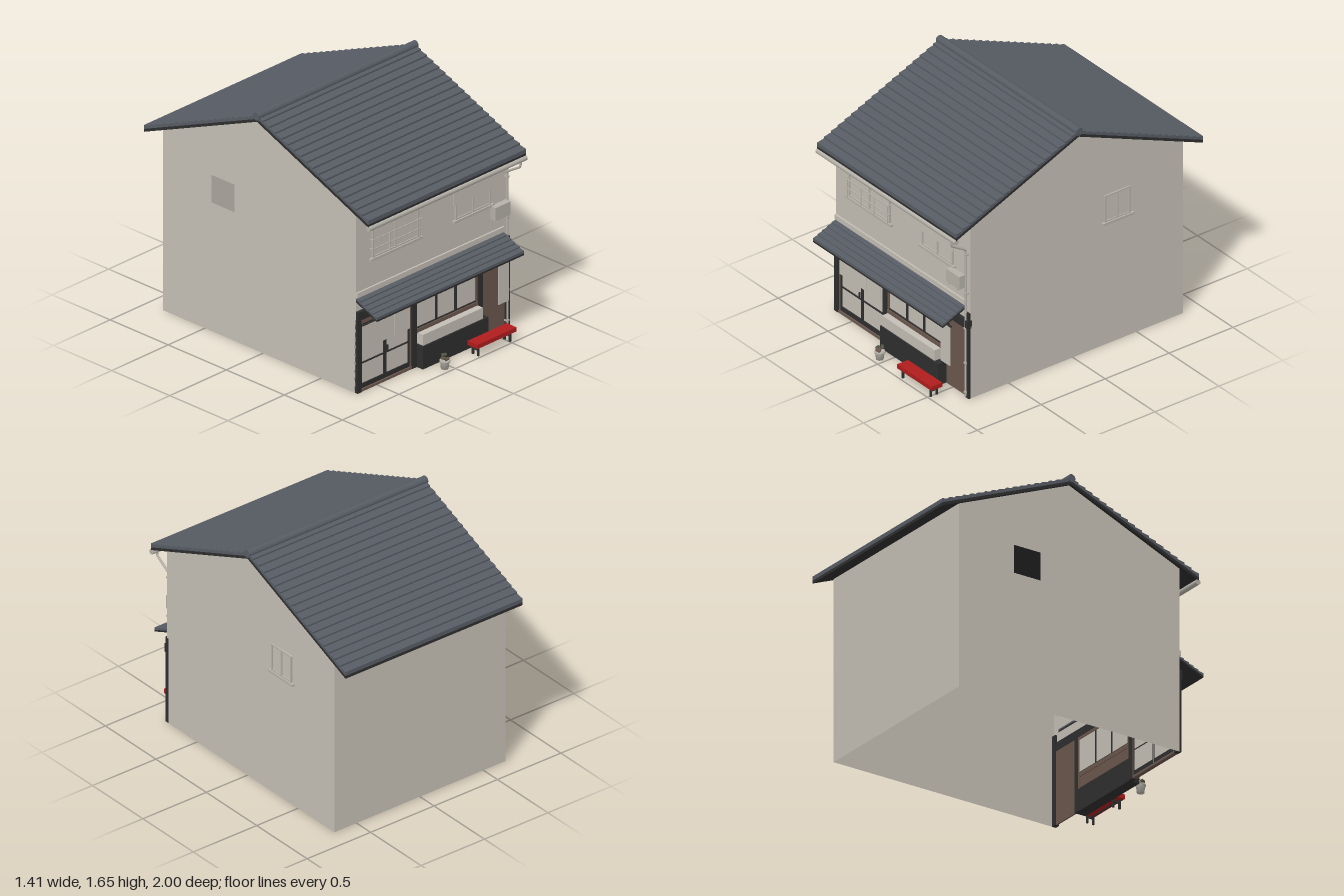
import * as THREE from 'three';

const mat = (name, color, double) => {
  const m = new THREE.MeshStandardMaterial({ color });
  m.name = name;
  if (double) m.side = THREE.DoubleSide;
  return m;
};

export function createModel() {
  const root = new THREE.Group();
  root.name = 'shopHouse';
  const plaster = mat('plaster', 0xc4bfb5, true);
  const slate = mat('slate', 0x575c64);
  const dark = mat('darkTimber', 0x2e2e2e);
  const brown = mat('brownTimber', 0x6b574d, true);
  const red = mat('redCloth', 0xb01c1c);
  const metal = mat('paleMetal', 0xb5b1a8);
  const leaf = mat('foliage', 0x5a5a48);

  const add = (name, geo, material, parent = root) => {
    const m = new THREE.Mesh(geo, material);
    m.name = name;
    parent.add(m);
    return m;
  };
  // Box given by its limits
  const box = (name, material, x0, x1, y0, y1, z0, z1, parent) => {
    const m = add(name, new THREE.BoxGeometry(x1 - x0, y1 - y0, z1 - z0), material, parent);
    m.position.set((x0 + x1) / 2, (y0 + y1) / 2, (z0 + z1) / 2);
    return m;
  };
  const group = (name) => {
    const g = new THREE.Group();
    g.name = name;
    root.add(g);
    return g;
  };
  // Extrudes a (z, y) outline along x
  const extrudeX = (pts, x0, x1) => {
    const shape = new THREE.Shape(pts.map(([z, y]) => new THREE.Vector2(z, y)));
    const g = new THREE.ExtrudeGeometry(shape, { depth: x1 - x0, bevelEnabled: false });
    return g.rotateY(-Math.PI / 2).translate(x1, 0, 0);
  };

  const W = 0.675, ZF = 0.8, ZB = -0.86, ZR = -0.03, RIDGE = 1.59, SLOPE = 0.415;

  // Walls: hollow shell without a floor
  const eave = RIDGE - (ZF - ZR) * SLOPE;
  for (const side of [-1, 1]) {
    const gable = new THREE.Shape([[ZB, 0], [ZF, 0], [ZF, eave], [ZR, RIDGE], [ZB, eave]]
      .map(([z, y]) => new THREE.Vector2(z, y)));
    if (side < 0) {
      gable.holes.push(new THREE.Path([[-0.445, 0.885], [-0.245, 0.885], [-0.245, 1.075], [-0.445, 1.075]]
        .map(([z, y]) => new THREE.Vector2(z, y))));
    }
    const g = new THREE.ShapeGeometry(gable).rotateY(-Math.PI / 2);
    // Turn the +x wall's faces outward
    if (side > 0) g.index.array.reverse(), g.attributes.normal.array.forEach((v, i, a) => { a[i] = -v; });
    add(side < 0 ? 'leftGableWall' : 'rightGableWall', g, plaster).position.x = side * W;
  }
  const back = add('backWall', new THREE.PlaneGeometry(2 * W, eave).rotateY(Math.PI), plaster);
  back.position.set(0, eave / 2, ZB);
  const front = add('upperFrontWall', new THREE.PlaneGeometry(2 * W, eave - 0.5), plaster);
  front.position.set(0, (eave + 0.5) / 2, ZF);

  // Stepped tile slope over a dark board
  const tiledSlope = (name, x0, x1, z0, z1, yTop, slope, rows, board, thick, step) => {
    const d = z1 - z0, run = Math.abs(d);
    const top = [];
    for (let i = 0; i < rows; i++) {
      const a = i / rows, b = (i + 1) / rows, y = yTop + board + thick;
      top.push([z0 + d * a, y - run * slope * a], [z0 + d * b, y + step - run * slope * b]);
    }
    const yEnd = yTop - run * slope;
    add(name + 'Tiles', extrudeX([...top, [z1, yEnd + board], [z0, yTop + board]], x0, x1), slate);
    add(name + 'Board', extrudeX([[z0, yTop + board], [z1, yEnd + board], [z1, yEnd], [z0, yTop]], x0, x1), dark);
  };
  tiledSlope('frontRoof', -0.698, 0.698, ZR, 0.93, RIDGE, SLOPE, 18, 0.02, 0.016, 0.012);
  tiledSlope('backRoof', -0.698, 0.698, ZR, -1, RIDGE, SLOPE, 18, 0.02, 0.016, 0.012);
  const ridge = add('ridgeCap', new THREE.CylinderGeometry(0.027, 0.027, 1.41, 16).rotateZ(Math.PI / 2), slate);
  ridge.position.set(0, 1.628, ZR);
  tiledSlope('awning', -0.675, 0.628, ZF, 0.98, 0.627, 0.42, 5, 0.012, 0.01, 0.008);
  box('awningFlashing', plaster, -W, 0.628, 0.655, 0.69, ZF, 0.812);

  // Gutter and downpipe
  const gutter = add('gutter', new THREE.CylinderGeometry(0.018, 0.018, 1.395, 12).rotateZ(Math.PI / 2), metal);
  gutter.position.set(0, 1.18, 0.926);
  const path = new THREE.CurvePath();
  const v = [[1.17, 0.93], [1.135, 0.93], [1.065, 0.815], [0.01, 0.815]].map(([y, z]) => new THREE.Vector3(0.648, y, z));
  for (let i = 0; i < 3; i++) path.add(new THREE.LineCurve3(v[i], v[i + 1]));
  add('downpipe', new THREE.TubeGeometry(path, 60, 0.008, 8), metal);
  for (const y of [1.03, 0.75, 0.5, 0.25, 0.04]) box('pipeClip', metal, 0.637, 0.659, y - 0.006, y + 0.006, ZF, 0.826);

  // Timber posts and beam of the shop front
  for (const [a, b, h] of [[-W, -0.64, 0.5], [-0.19, -0.15, 0.5], [0.395, 0.432, 0.5], [0.64, W, 0.612]])
    box('post', dark, a, b, 0, h, 0.785, 0.815);
  box('beam', dark, -W, W, 0.5, 0.56, 0.79, 0.822);
  box('sidePanel', brown, 0.432, 0.64, 0, 0.5, 0.79, ZF);

  // Sliding doors
  const door = group('slidingDoors');
  box('doorHeader', brown, -0.64, -0.19, 0.46, 0.5, 0.79, 0.803, door);
  box('leftJamb', brown, -0.64, -0.628, 0, 0.46, 0.785, 0.803, door);
  box('rightJamb', brown, -0.202, -0.19, 0, 0.46, 0.785, 0.803, door);
  box('threshold', brown, -0.64, -0.19, 0, 0.016, 0.785, 0.812, door);
  box('doorGlass', plaster, -0.628, -0.202, 0.016, 0.46, 0.788, 0.792, door);
  for (const [a, b] of [[-0.628, -0.418], [-0.412, -0.202]]) {
    box('doorStile', dark, a, a + 0.007, 0.016, 0.46, 0.787, 0.8, door);
    box('doorStile', dark, b - 0.007, b, 0.016, 0.46, 0.787, 0.8, door);
    box('doorBottomRail', dark, a, b, 0.016, 0.046, 0.787, 0.8, door);
    box('doorMiddleRail', dark, a, b, 0.184, 0.192, 0.787, 0.8, door);
    box('doorTopRail', dark, a, b, 0.45, 0.46, 0.787, 0.8, door);
  }
  for (const x of [-0.432, -0.4]) box('doorHandle', dark, x - 0.003, x + 0.003, 0.195, 0.24, 0.8, 0.81, door);
  // Split door curtain on a rod
  for (let i = 0; i < 3; i++) {
    const x = -0.622 + i * 0.138;
    box('curtainPanel', plaster, x, x + 0.136, 0.288, 0.452, 0.812, 0.815, door);
  }
  box('curtainRod', dark, -0.632, -0.198, 0.45, 0.457, 0.81, 0.818, door);

  // Display window and counter
  const shop = group('displayWindow');
  box('windowHead', brown, -0.15, 0.395, 0.482, 0.5, 0.785, 0.805, shop);
  box('windowSill', brown, -0.15, 0.395, 0.228, 0.256, 0.785, 0.812, shop);
  for (const x of [-0.15, 0.384]) box('windowJamb', brown, x, x + 0.011, 0.15, 0.5, 0.785, 0.805, shop);
  box('lowerPanel', brown, -0.15, 0.395, 0.15, 0.23, 0.79, 0.8, shop);
  box('displayGlass', plaster, -0.14, 0.385, 0.25, 0.485, 0.79, 0.794, shop);
  for (const x of [0.038, 0.208]) box('mullion', dark, x - 0.007, x + 0.007, 0.256, 0.482, 0.788, 0.803, shop);
  box('glassRail', dark, -0.139, 0.384, 0.254, 0.262, 0.788, 0.803, shop);
  box('counterBase', dark, -0.15, 0.432, 0, 0.155, 0.79, 0.866, shop);
  box('counterBox', plaster, -0.14, 0.39, 0.157, 0.232, 0.8, 0.858, shop);

  // Hanging cloth banner
  const banner = group('hangingBanner');
  box('bannerCloth', plaster, 0.49, 0.586, 0.225, 0.505, 0.888, 0.892, banner);
  box('bannerRod', dark, 0.478, 0.598, 0.507, 0.517, 0.885, 0.895, banner);
  for (const x of [0.5, 0.576]) box('bannerCord', dark, x - 0.002, x + 0.002, 0.515, 0.592, 0.888, 0.892, banner);

  // Upstairs windows: frame, panes, sill
  const frame = (parent, x0, x1, y0, y1, z) => {
    const t = 0.01, xm = (x0 + x1) / 2;
    box('panes', plaster, x0, x1, y0, y1, z - 0.002, z + 0.003, parent);
    for (const x of [x0, xm - t / 2, x1 - t]) box('frameUpright', metal, x, x + t, y0, y1, z, z + 0.011, parent);
    for (const y of [y0, y1 - t]) box('frameRail', metal, x0, x1, y, y + t, z, z + 0.01, parent);
    box('sill', metal, x0 - 0.022, x1 + 0.022, y0 - 0.016, y0, z, z + 0.02, parent);
  };
  const leftWin = group('railedWindow');
  frame(leftWin, -0.537, -0.125, 0.885, 1.142, ZF);
  for (const y of [0.948, 1.012]) box('railBar', metal, -0.553, -0.118, y, y + 0.006, 0.82, 0.826, leftWin);
  for (const x of [-0.535, -0.4, -0.27, -0.135]) box('railUpright', metal, x, x + 0.005, 0.885, 1.018, 0.818, 0.824, leftWin);
  for (const x of [-0.553, -0.124]) for (const y of [0.948, 1.012]) box('railBracket', metal, x, x + 0.006, y, y + 0.006, ZF, 0.825, leftWin);
  const rightWin = group('blindWindow');
  frame(rightWin, 0.198, 0.508, 0.885, 1.142, ZF);
  box('rollerBlind', plaster, 0.175, 0.525, 0.992, 1.16, 0.815, 0.819, rightWin);
  box('blindRod', dark, 0.17, 0.53, 1.158, 1.166, 0.8, 0.822, rightWin);

  // Side window, built facing front then turned to +x
  const sideWin = group('sideWindow');
  frame(sideWin, -0.1, 0.1, 0.885, 1.075, 0);
  sideWin.rotation.y = Math.PI / 2;
  sideWin.position.set(W, 0, -0.345);

  // Air conditioner on brackets
  const unit = group('airConditioner');
  box('unitCase', metal, 0.503, 0.636, 0.785, 0.876, 0.812, 0.857, unit);
  for (const x of [0.52, 0.61]) box('unitBracket', metal, x, x + 0.01, 0.775, 0.785, ZF, 0.857, unit);

  // Bench
  const bench = group('bench');
  box('benchSeat', red, 0.195, 0.54, 0.064, 0.093, 0.915, 1, bench);
  for (const x of [0.225, 0.505]) {
    for (const z of [0.932, 0.978]) box('benchLeg', dark, x - 0.006, x + 0.006, 0, 0.064, z - 0.006, z + 0.006, bench);
    box('benchBrace', dark, x - 0.004, x + 0.004, 0.035, 0.045, 0.932, 0.978, bench);
  }
  box('benchStretcher', dark, 0.225, 0.505, 0.036, 0.044, 0.951, 0.959, bench);

  // Potted plant
  const plant = group('pottedPlant');
  plant.position.set(-0.043, 0, 0.95);
  const pot = [[0, 0], [0.024, 0], [0.029, 0.046], [0.034, 0.046], [0.034, 0.057], [0.028, 0.057], [0, 0.05]];
  add('pot', new THREE.LatheGeometry(pot.map(([r, y]) => new THREE.Vector2(r, y)), 16), metal, plant);
  for (let i = 0; i < 7; i++) {
    const a = i * 2.4, r = i ? 0.018 : 0;
    const l = add('leaves', new THREE.IcosahedronGeometry(0.012, 0), i % 3 ? leaf : brown, plant);
    l.position.set(Math.cos(a) * r, 0.068 + (i % 3) * 0.009, Math.sin(a) * r);
  }
  return root;
}
